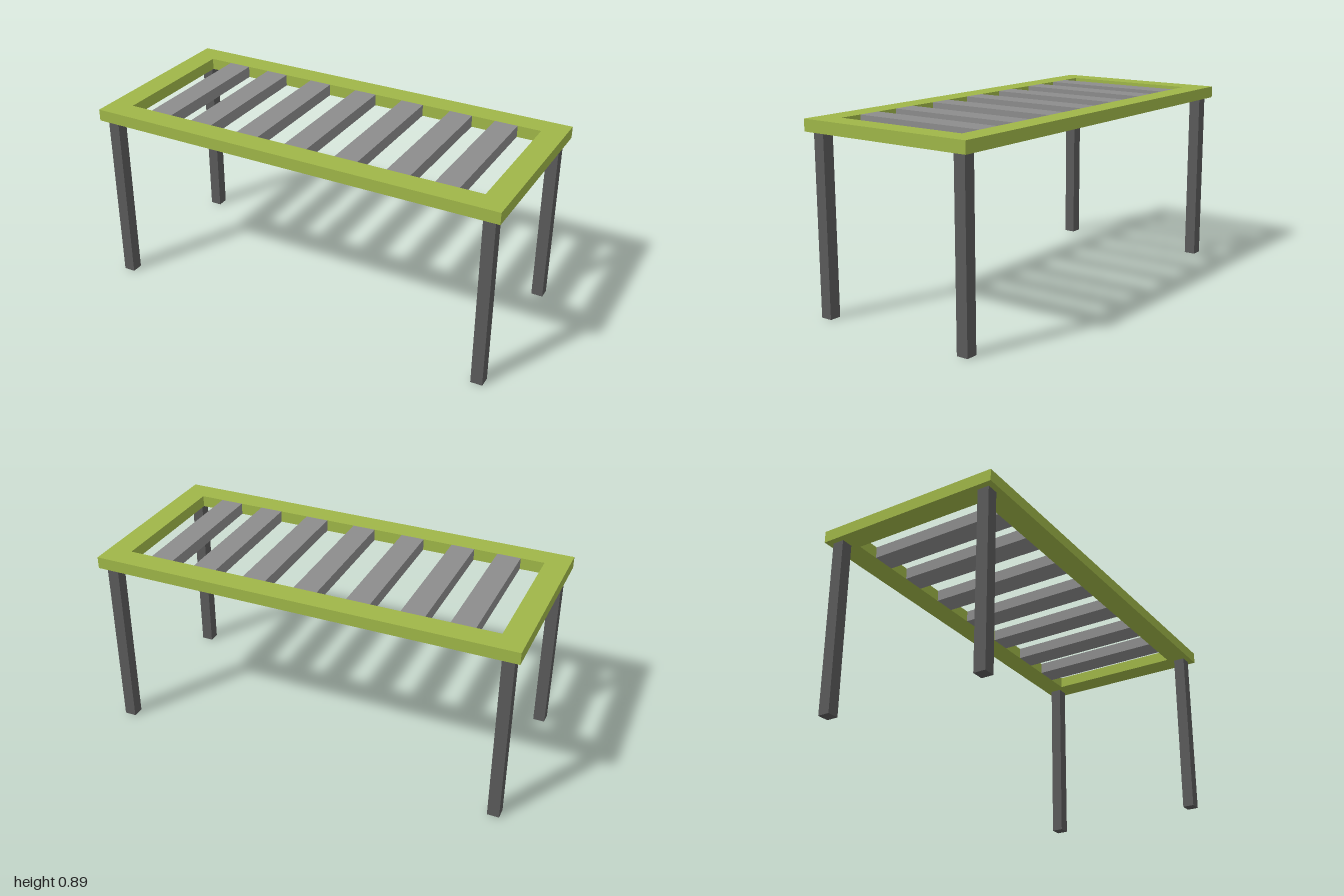
import * as THREE from 'three';

const U = 1 / 18; // leg width and frame thickness
const LEG_H = 15 * U;

function rect(PathType, hx, hy) {
  const p = new PathType();
  p.moveTo(-hx, -hy);
  p.lineTo(hx, -hy);
  p.lineTo(hx, hy);
  p.lineTo(-hx, hy);
  p.closePath();
  return p;
}

function box(name, w, h, d, x, y, z, material) {
  const mesh = new THREE.Mesh(new THREE.BoxGeometry(w, h, d), material);
  mesh.name = name;
  mesh.position.set(x, y, z);
  return mesh;
}

export function createModel() {
  const model = new THREE.Group();
  model.name = 'slattedTable';
  const green = new THREE.MeshStandardMaterial({ color: 0x9fb648 });
  const grey = new THREE.MeshStandardMaterial({ color: 0x8c8c8c });
  const dark = new THREE.MeshStandardMaterial({ color: 0x5a5a5a });

  // Rectangular top frame with an open centre
  const outline = rect(THREE.Shape, 18 * U, 8 * U);
  outline.holes.push(rect(THREE.Path, 16 * U, 6 * U));
  const frameGeo = new THREE.ExtrudeGeometry(outline, { depth: U, bevelEnabled: false });
  frameGeo.rotateX(-Math.PI / 2);
  const frame = new THREE.Mesh(frameGeo, green);
  frame.name = 'topFrame';
  frame.position.y = LEG_H;
  model.add(frame);

  // Cross slats, flush with the frame
  const slats = new THREE.Group();
  slats.name = 'slats';
  for (const x of [-13, -9, -4.5, 0, 4.5, 9, 13]) {
    slats.add(box('slat', 2 * U, U, 12 * U, x * U, LEG_H + U / 2, 0, grey));
  }
  model.add(slats);

  // Four square legs
  for (const sx of [-1, 1]) {
    for (const sz of [-1, 1]) {
      const name = (sz > 0 ? 'front' : 'back') + (sx > 0 ? 'Left' : 'Right') + 'Leg';
      model.add(box(name, U, LEG_H, U, sx * 17 * U, LEG_H / 2, sz * 7 * U, dark));
    }
  }
  return model;
}
